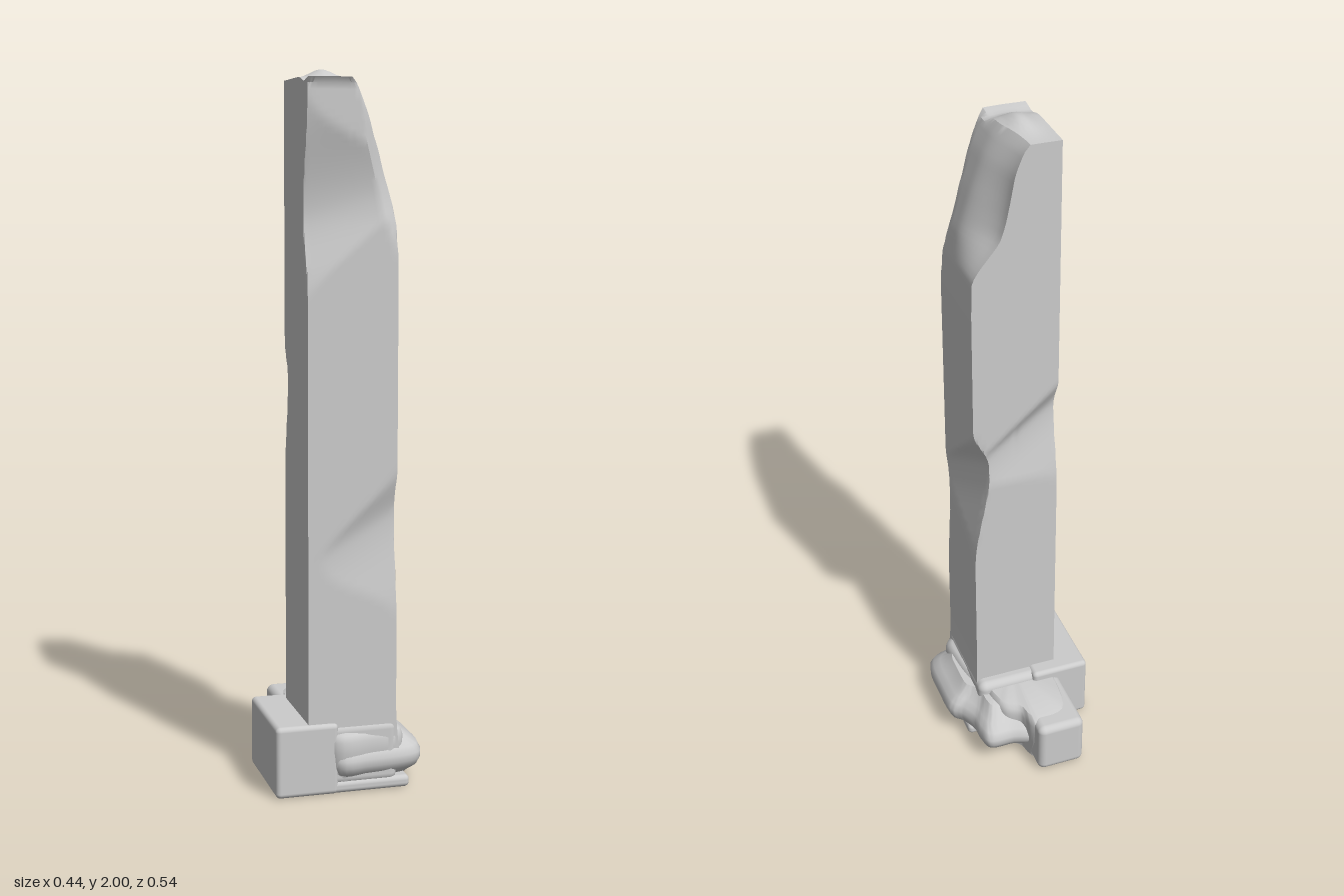
import * as THREE from 'three';
import { toCreasedNormals } from 'three/addons/utils/BufferGeometryUtils.js';
import { RoundedBoxGeometry } from 'three/addons/geometries/RoundedBoxGeometry.js';

const stone = new THREE.MeshStandardMaterial({ color: 0xcccccc });

// Column footprint
const X0 = -0.125, X1 = 0.13, Z0 = -0.012, Z1 = 0.247;

// Worn corners: side signs, reach along x and z, centre height, extent below and above, tilt
const CUTS = [
  { sx: -1, sz: 1, wx: 0.3, wz: 0.05, y: 1.62, lo: 0.25, hi: 0.33, tilt: 0.3 },
  { sx: 1, sz: 1, wx: 0.06, wz: 0.035, y: 1.7, lo: 0.22, hi: 0.3, tilt: 0 },
  { sx: 1, sz: 1, wx: 0.22, wz: 0.03, y: 0.78, lo: 0.3, hi: 0.14, tilt: -0.5 },
  { sx: 1, sz: -1, wx: 0.05, wz: 0.26, y: 1.0, lo: 0.36, hi: 0.13, tilt: -0.5 },
  { sx: -1, sz: -1, wx: 0.28, wz: 0.035, y: 1.15, lo: 0.26, hi: 0.1, tilt: -0.6 },
];

// Right-hand limit of the column at each height, forming the broken shoulder
const SHOULDER = [[1.5, 0.13], [1.6, 0.128], [1.68, 0.112], [1.8, 0.075], [1.9, 0.04], [1.96, 0.012], [1.985, -0.01]];

function shoulderAt(y, z) {
  if (y <= SHOULDER[0][0]) return X1;
  const i = Math.max(1, SHOULDER.findIndex(([h]) => y <= h));
  const [ya, xa] = SHOULDER[i - 1], [yb, xb] = SHOULDER[i];
  const x = xa + (xb - xa) * (y - ya) / (yb - ya);
  // The break is hollower towards the rear
  const rear = 1 - THREE.MathUtils.smoothstep(z, Z0, 0.15);
  const hollow = THREE.MathUtils.smoothstep(y, 1.6, 1.73) * (1 - 0.4 * THREE.MathUtils.smoothstep(y, 1.75, 1.95));
  return x - 0.055 * rear * hollow;
}

function columnGeometry() {
  const bottom = 0.1, top = 1.978;
  const geo = new THREE.BoxGeometry(X1 - X0, top - bottom, Z1 - Z0, 18, 110, 18);
  geo.translate((X0 + X1) / 2, (top + bottom) / 2, (Z0 + Z1) / 2);
  const p = geo.attributes.position;
  for (let i = 0; i < p.count; i++) {
    let x = p.getX(i), y = p.getY(i), z = p.getZ(i);
    for (const c of CUTS) {
      const u = c.sx > 0 ? X1 - x : x - X0;
      const v = c.sz > 0 ? Z1 - z : z - Z0;
      const dy = y - c.y - c.tilt * (c.wx > c.wz ? u : v);
      const s = 1 - THREE.MathUtils.smoothstep(Math.abs(dy), 0, dy < 0 ? c.lo : c.hi);
      const gap = s - u / c.wx - v / c.wz;
      if (gap <= 0) continue;
      // Push the point onto the slanted cut along its normal
      const k = gap / (1 / c.wx ** 2 + 1 / c.wz ** 2);
      x -= c.sx * k / c.wx;
      z -= c.sz * k / c.wz;
    }
    // Shoulder, uneven crown and the flare into the base
    x = X0 + (x - X0) * (shoulderAt(y, z) - X0) / (X1 - X0);
    if (y > top - 0.001) {
      y += 0.024 * Math.exp(-(((x + 0.055) / 0.04) ** 2) - ((z - 0.12) / 0.07) ** 2);
      y -= 0.012 * Math.exp(-(((z - 0.21) / 0.03) ** 2));
      if (z > Z1 - 0.01) z += 0.01;
    }
    const flare = Math.max(0, 0.26 - y) / 0.16;
    if (x > 0) x += 0.012 * flare * flare;
    p.setXYZ(i, x, y, z);
  }
  return toCreasedNormals(geo, 0.6);
}

// Closed rock lofted from one outline; levels are [height, scale]
function rockGeometry(outline, levels, cx, cz) {
  const curve = new THREE.CatmullRomCurve3(
    outline.map(([x, z]) => new THREE.Vector3(x, 0, z)), true, 'catmullrom', 0.5);
  const n = 72, pos = [], idx = [];
  // End rings shrink to a point and close the rock
  const rings = [[levels[0][0], 0], ...levels, [levels[levels.length - 1][0], 0]];
  for (const [y, s] of rings) {
    for (let i = 0; i < n; i++) {
      const q = curve.getPoint(i / n);
      pos.push(cx + (q.x - cx) * s, y, cz + (q.z - cz) * s);
    }
  }
  for (let r = 0; r < rings.length - 1; r++) {
    for (let i = 0; i < n; i++) {
      const a = r * n + i, b = r * n + (i + 1) % n;
      if (r < rings.length - 2) idx.push(a, a + n, b + n);
      if (r > 0) idx.push(a, b + n, b);
    }
  }
  const geo = new THREE.BufferGeometry();
  geo.setAttribute('position', new THREE.Float32BufferAttribute(pos, 3));
  geo.setIndex(idx);
  return toCreasedNormals(geo, 0.8);
}

function blockGeometry(x0, x1, y0, y1, z0, z1, r) {
  const geo = new RoundedBoxGeometry(x1 - x0, y1 - y0, z1 - z0, 4, r);
  return geo.translate((x0 + x1) / 2, (y0 + y1) / 2, (z0 + z1) / 2);
}

export function createModel() {
  const group = new THREE.Group();
  group.name = 'brokenStonePillar';
  const add = (name, geo) => {
    const mesh = new THREE.Mesh(geo, stone);
    mesh.name = name;
    group.add(mesh);
  };

  add('column', columnGeometry());

  // Squared base blocks
  add('baseBlock', blockGeometry(-0.22, -0.04, 0, 0.205, -0.06, 0.258, 0.014));
  add('coreBlock', blockGeometry(-0.1, 0.135, 0.02, 0.2, -0.05, 0.252, 0.025));
  add('rearBlock', blockGeometry(-0.127, 0.02, 0.005, 0.175, -0.27, 0.02, 0.022));
  add('footSlab', blockGeometry(-0.1, 0.17, 0, 0.035, -0.04, 0.255, 0.014));

  // Eroded skirt bulging out on the right
  const skirt = [[-0.02, -0.185], [0.08, -0.185], [0.148, -0.18], [0.165, -0.13], [0.168, -0.08],
    [0.19, -0.03], [0.218, 0.005], [0.222, 0.1], [0.218, 0.2], [0.18, 0.248], [0.05, 0.265], [-0.05, 0.255], [-0.08, 0.05]];
  add('erodedSkirt', rockGeometry(skirt,
    [[0.02, 0.76], [0.04, 0.86], [0.055, 0.95], [0.075, 0.995], [0.095, 1], [0.115, 0.95], [0.13, 0.85], [0.145, 0.76], [0.165, 0.68]],
    0.03, 0.06));

  // Ledge between the column and the skirt
  const ledge = [[-0.1, -0.2], [0, -0.235], [0.026, -0.215], [0.04, -0.165], [0.085, -0.13], [0.105, -0.07],
    [0.11, 0], [0.14, 0.04], [0.155, 0.14], [0.15, 0.235], [0.05, 0.257], [-0.06, 0.252], [-0.11, 0.05]];
  add('upperLedge', rockGeometry(ledge,
    [[0.01, 0.9], [0.04, 0.92], [0.08, 0.98], [0.12, 1], [0.15, 1], [0.168, 0.97], [0.178, 0.9]], 0, 0.04));

  return group;
}
